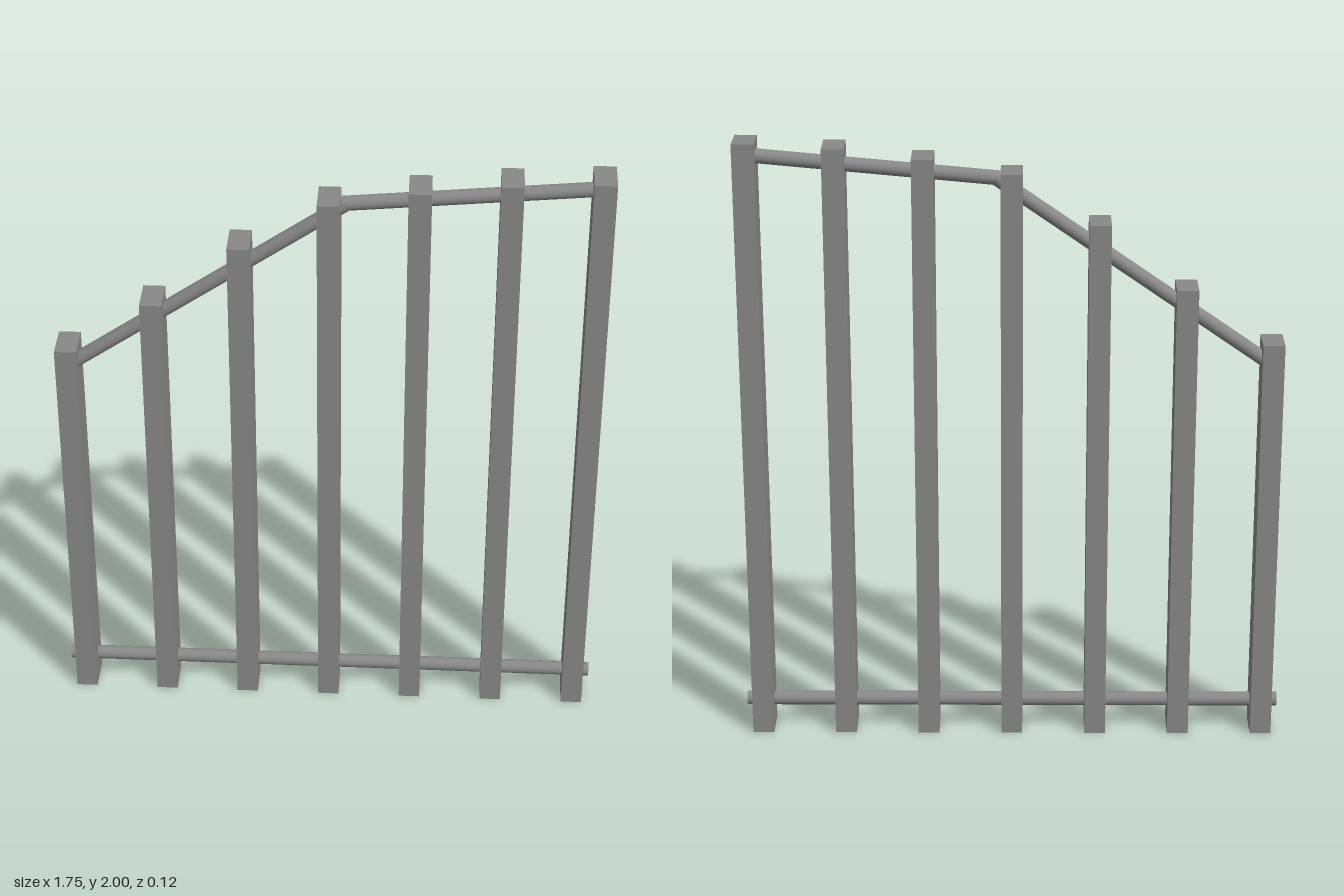
import * as THREE from 'three';

export function createModel() {
  const group = new THREE.Group();
  const material = new THREE.MeshStandardMaterial({ color: 0x888888 });
  const railRadius = 0.023;

  function add(name, geometry) {
    const mesh = new THREE.Mesh(geometry, material);
    mesh.name = name;
    group.add(mesh);
    return mesh;
  }

  // Round bar running between two points
  function addRail(name, from, to) {
    const a = new THREE.Vector3(...from);
    const b = new THREE.Vector3(...to);
    const dir = b.clone().sub(a);
    const rail = add(name, new THREE.CylinderGeometry(railRadius, railRadius, dir.length(), 32));
    rail.position.copy(a).add(b).multiplyScalar(0.5);
    rail.quaternion.setFromUnitVectors(new THREE.Vector3(0, 1, 0), dir.normalize());
  }

  // Upright posts, rising toward the model's left
  const heights = [1.355, 1.535, 1.745, 1.905, 1.953, 1.985, 2.0];
  heights.forEach((h, i) => {
    const post = add(`post${i + 1}`, new THREE.BoxGeometry(0.069, h, 0.12));
    post.position.set((i - 3) * 0.2742, h / 2, 0);
  });

  // Straight lower rail, poking out past the end posts
  addRail('lowerRail', [-0.877, 0.098, 0], [0.877, 0.098, 0]);

  // Upper rail in two runs: steep, then nearly level
  addRail('steepUpperRail', [-0.83, 1.268, 0], [0.05, 1.881, 0]);
  addRail('shallowUpperRail', [0.04, 1.881, -0.002], [0.858, 1.957, -0.005]);

  return group;
}
